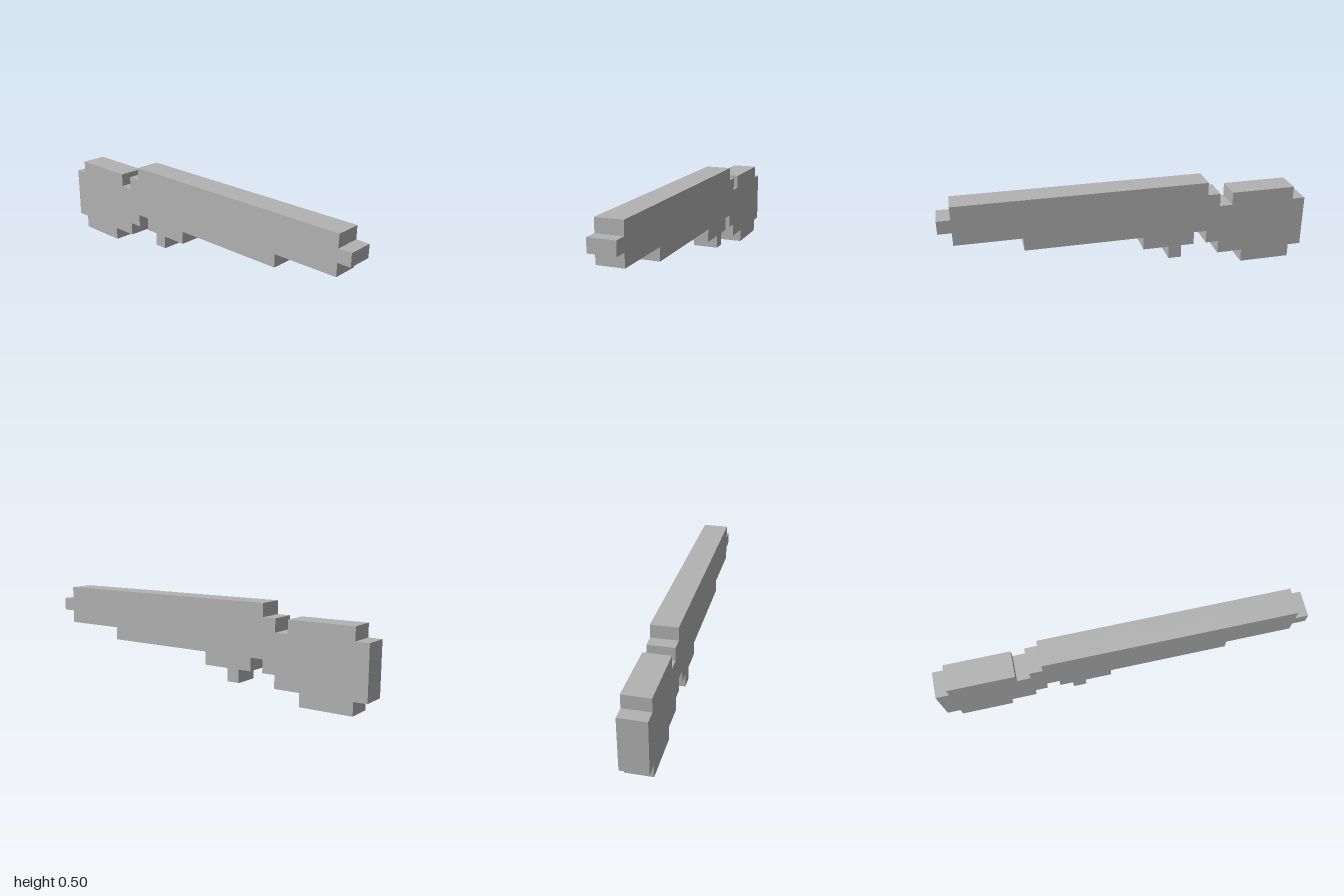
import * as THREE from 'three';

const CELL = 2 / 28; // the silhouette steps on a 28 x 7 cell grid

// Stepped outline in cells, counter-clockwise from the bottom of the stock
const OUTLINE = [
  // underside of the stock and grip
  [1, 0], [5, 0], [5, 1], [7, 1], [7, 2], [8, 2], [8, 3], [9, 3],
  // trigger
  [9, 2], [10, 2], [10, 1], [11, 1], [11, 2], [13, 2], [13, 3],
  // underside of the barrel and muzzle
  [22, 3], [22, 4], [27, 4], [27, 5], [28, 5], [28, 6], [27, 6], [27, 7],
  // top, notch and butt
  [8, 7], [8, 6], [7, 6], [7, 5], [6, 5], [6, 6], [1, 6], [1, 5], [0, 5], [0, 1], [1, 1],
];

export function createModel() {
  const model = new THREE.Group();
  model.name = 'blockRifle';

  const grey = new THREE.MeshStandardMaterial({ color: 0xb2b2b2 });
  grey.name = 'plain grey';

  const shape = new THREE.Shape(
    OUTLINE.map(([x, y]) => new THREE.Vector2((x - 14) * CELL, y * CELL))
  );

  // Two cells thick, centred on z
  const geometry = new THREE.ExtrudeGeometry(shape, { depth: 2 * CELL, bevelEnabled: false });
  geometry.translate(0, 0, -CELL);

  const body = new THREE.Mesh(geometry, grey);
  body.name = 'rifleBody';
  model.add(body);
  return model;
}
